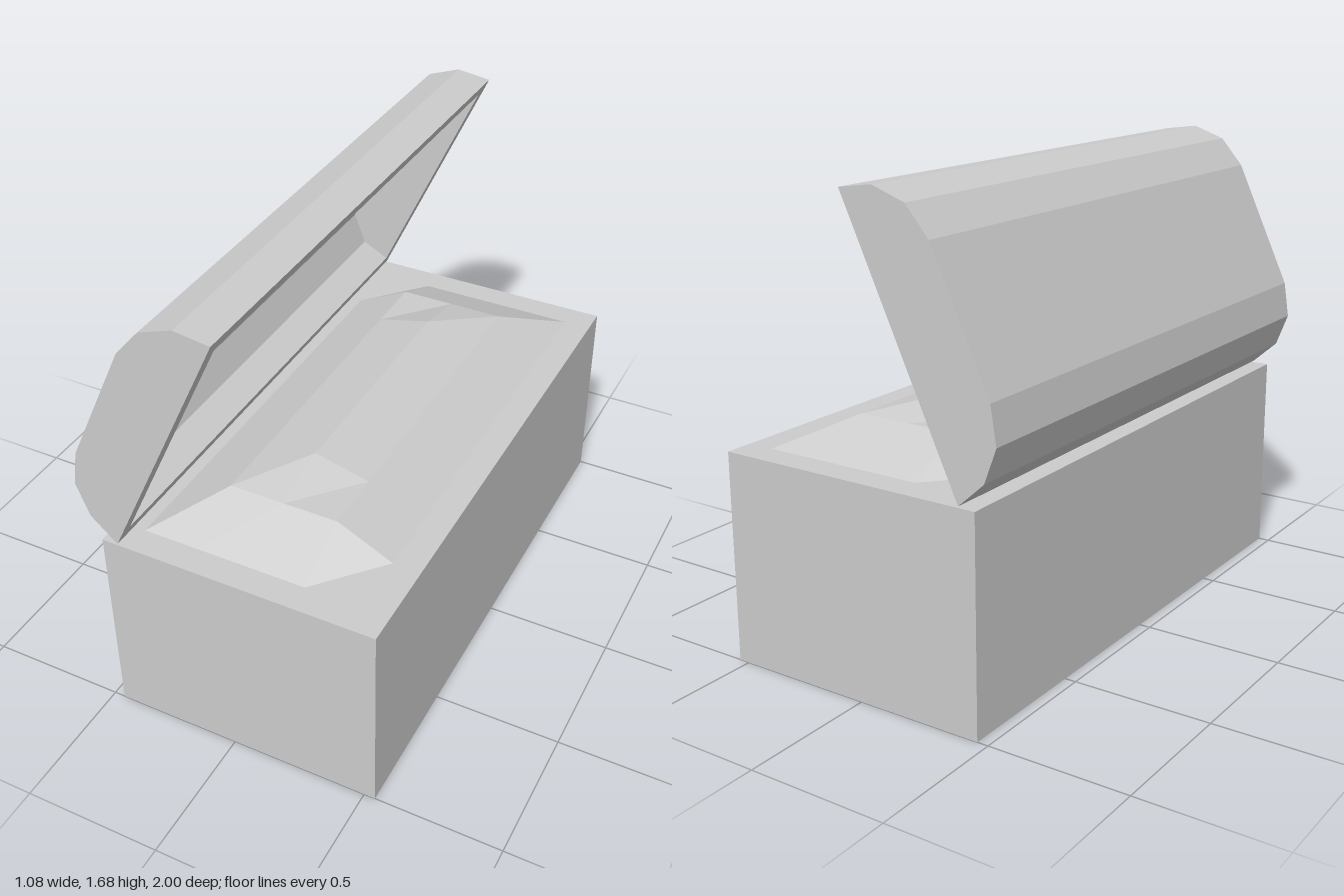
import * as THREE from 'three';

const material = new THREE.MeshStandardMaterial({ color: 0xcccccc, flatShading: true });

function addMesh(parent, name, geometry) {
  const mesh = new THREE.Mesh(geometry, material);
  mesh.name = name;
  parent.add(mesh);
  return mesh;
}

// Half a lid profile (u along the opening, v outwards), completed by mirroring about u = 0.5
function mirrored(half) {
  const other = half.map(([u, v]) => [1 - u, v]).reverse();
  return [...half, ...other].map(([u, v]) => new THREE.Vector2(u, v));
}

function extrude(points, depth, z) {
  const geometry = new THREE.ExtrudeGeometry(new THREE.Shape(points), { depth, bevelEnabled: false });
  return geometry.translate(0, 0, z);
}

export function createModel() {
  const model = new THREE.Group();
  model.name = 'chest';

  // Solid box of the chest
  addMesh(model, 'chestBox', new THREE.BoxGeometry(1, 0.75, 2)).position.set(0.04, 0.375, 0);

  // Heaped contents: a grid raised in steps from its border inwards
  const heap = new THREE.PlaneGeometry(0.8, 1.8, 4, 8).rotateX(-Math.PI / 2);
  const heights = [0.001, 0.1, 0.15];
  const p = heap.attributes.position;
  for (let i = 0; i < p.count; i++) {
    const column = i % 5, row = Math.floor(i / 5);
    const ring = Math.min(column, 4 - column, row, 8 - row);
    p.setY(i, heights[ring]);
  }
  heap.computeVertexNormals();
  addMesh(model, 'contents', heap).position.set(0.04, 0.75, 0);

  // Hollow faceted lid, swung open about its back edge
  const lid = new THREE.Group();
  lid.name = 'lid';
  const outer = mirrored([[0, 0], [0.038, 0.122], [0.127, 0.213], [0.253, 0.249]]);
  const inner = mirrored([[0.05, 0], [0.055, 0.115], [0.142, 0.205], [0.253, 0.242]]);
  addMesh(lid, 'lidShell', extrude([...outer, ...inner.reverse()], 1.9, -0.95));
  addMesh(lid, 'lidFrontEnd', extrude(outer, 0.05, 0.95));
  addMesh(lid, 'lidBackEnd', extrude(outer, 0.05, -1));
  lid.position.set(-0.4, 0.755, 0);
  lid.rotation.z = Math.atan2(0.905, 0.42);
  model.add(lid);

  return model;
}
